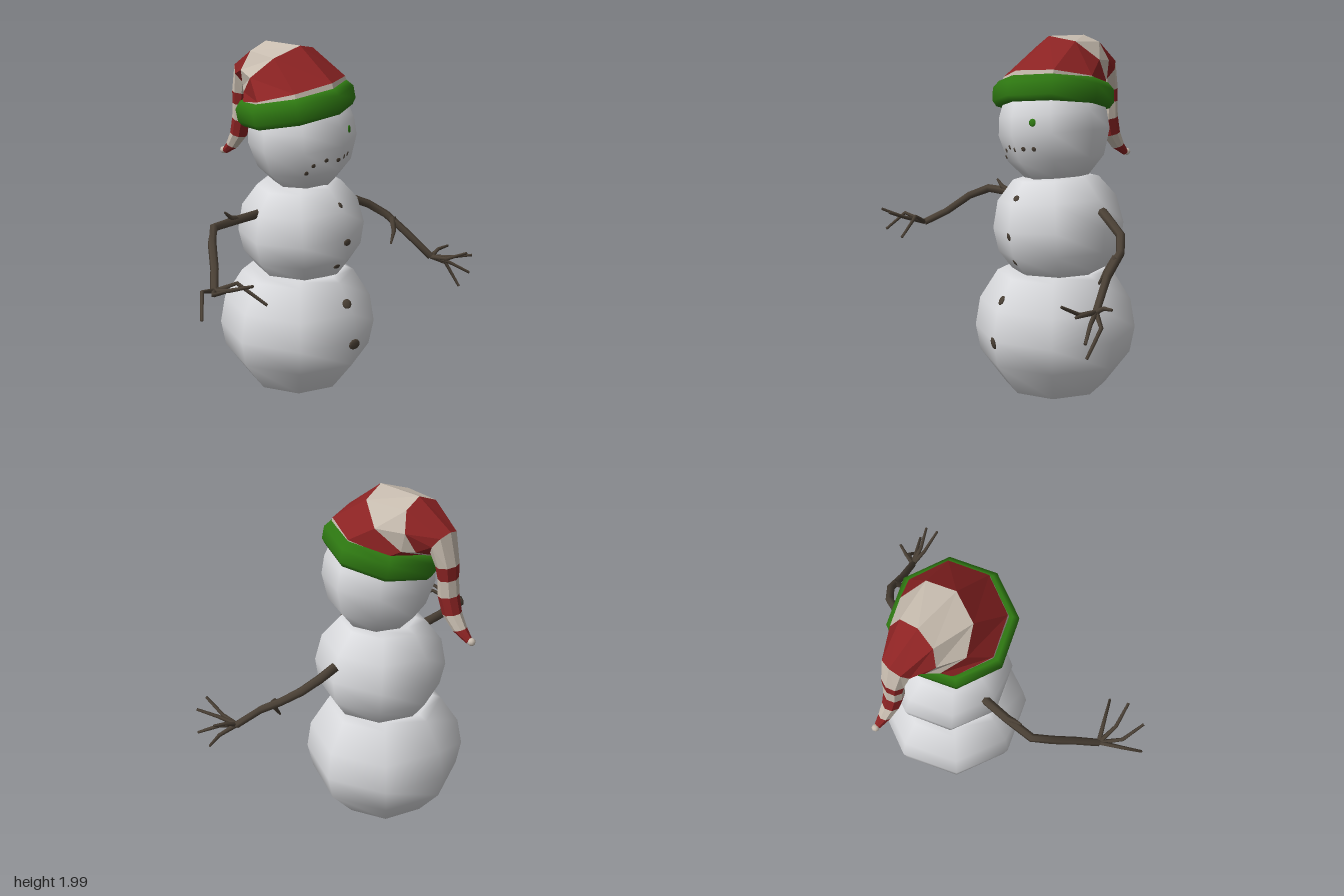
import * as THREE from 'three';

const mat = (name, color) => Object.assign(new THREE.MeshStandardMaterial({ color }), { name });
const V = (x, y, z) => new THREE.Vector3(x, y, z);

// Skin a list of equally long closed rings of points
function loft(rings, flat) {
  const n = rings[0].length, pos = [], idx = [];
  rings.forEach(r => r.forEach(p => pos.push(p.x, p.y, p.z)));
  for (let i = 0; i < rings.length - 1; i++) {
    for (let j = 0; j < n; j++) {
      const a = i * n + j, b = i * n + (j + 1) % n;
      idx.push(a, b, a + n, b, b + n, a + n);
    }
  }
  let g = new THREE.BufferGeometry();
  g.setAttribute('position', new THREE.Float32BufferAttribute(pos, 3));
  g.setIndex(idx);
  if (flat) g = g.toNonIndexed();
  g.computeVertexNormals();
  return g;
}

// Tapered stick along a bent path, closed at both ends
function stick(path, r0, r1, sides = 5) {
  const pts = path.map(p => V(...p)), last = pts.length - 1;
  const ring = (i, k) => {
    const t = pts[Math.min(i + 1, last)].clone().sub(pts[Math.max(i - 1, 0)]).normalize();
    const u = V(0.3, 0.8, -0.5).cross(t).normalize(), v = t.clone().cross(u);
    const r = k * (r0 + (r1 - r0) * i / last);
    return Array.from({ length: sides }, (_, j) => {
      const a = j / sides * Math.PI * 2;
      return pts[i].clone().addScaledVector(u, r * Math.cos(a)).addScaledVector(v, r * Math.sin(a));
    });
  };
  return loft([ring(0, 0), ...pts.map((_, i) => ring(i, 1)), ring(last, 0)]);
}

export function createModel() {
  const model = new THREE.Group();
  const snow = mat('snow', 0xd9dadd), red = mat('red cloth', 0x8c2323), cream = mat('cream cloth', 0xc8bdb0);
  const green = mat('green', 0x2f7a12), bark = mat('bark', 0x4a4035);

  const add = (name, geo, material, parent = model) => {
    const m = new THREE.Mesh(geo, material);
    m.name = name;
    parent.add(m);
    return m;
  };
  const lathe = profile => new THREE.LatheGeometry(profile.map(p => new THREE.Vector2(...p)), 8);

  // Three eight-sided snowballs, profiles as radius and height
  const base = add('lowerBall', lathe([[0, 0.01], [0.17, 0.025], [0.28, 0.06], [0.42, 0.245], [0.447, 0.39],
    [0.42, 0.55], [0.32, 0.71], [0.27, 0.73], [0, 0.735]]), snow);
  base.position.set(0.11, 0, -0.022);

  const middle = add('middleBall', lathe([[0, -0.27], [0.2, -0.265], [0.26, -0.235], [0.335, -0.13], [0.358, 0],
    [0.325, 0.15], [0.235, 0.26], [0.18, 0.275], [0, 0.275]]), snow);
  middle.position.set(0.135, 0.97, -0.02);
  middle.rotation.z = 0.08;

  const head = add('head', lathe([[0, -0.255], [0.17, -0.25], [0.26, -0.15], [0.3, -0.01], [0.29, 0.09],
    [0.25, 0.2], [0.14, 0.28], [0, 0.3]]), snow);
  head.position.set(0.12, 1.49, 0);
  head.rotation.z = 0.11;
  model.updateMatrixWorld(true);

  // Flat pebbles laid on the front of the snow
  const ray = new THREE.Raycaster();
  const pebble = (name, x, y, r, material) => {
    ray.set(V(x, y, 3), V(0, 0, -1));
    const hit = ray.intersectObjects([base, middle, head])[0];
    if (!hit) return;
    const m = add(name, new THREE.SphereGeometry(r, 7, 5), material);
    m.scale.z = 0.3;
    m.position.copy(hit.point);
    m.lookAt(hit.point.clone().add(hit.face.normal.clone().transformDirection(hit.object.matrixWorld)));
  };
  [[0.13, 1.15, 0.018], [0.13, 0.95, 0.022], [0.113, 0.8, 0.02], [0.103, 0.605, 0.028], [0.103, 0.38, 0.034]]
    .forEach(([x, y, r]) => pebble('button', x, y, r, bark));
  [[-0.05, 1.345], [-0.02, 1.385], [0.045, 1.41], [0.113, 1.405], [0.17, 1.413], [0.225, 1.415]]
    .forEach(([x, y]) => pebble('mouthPebble', x, y, 0.013, bark));
  pebble('eye', 0.225, 1.553, 0.021, green);

  // Hat: brim band tilted back and sideways
  const hat = new THREE.Group();
  hat.name = 'hat';
  model.add(hat);
  const band = add('hatBand', lathe([[0.26, -0.05], [0.305, -0.06], [0.327, -0.03], [0.327, 0.04], [0.295, 0.078],
    [0.25, 0.06]]), green, hat);
  band.position.set(0.09, 1.67, -0.022);
  band.rotation.set(-0.147, 0, 0.13);

  // Hat cloth rings: outer z, y; inner z, y; half width; sideways slope
  const rings = [
    [0.26, 1.745, -0.30, 1.65, 0.285, 0.13],
    [0.24, 1.815, -0.31, 1.69, 0.28, 0.13],
    [0.01, 1.99, -0.32, 1.70, 0.215, 0.1],
    [-0.25, 1.995, -0.34, 1.71, 0.15, 0.05],
    [-0.455, 1.87, -0.365, 1.74, 0.085, 0],
    [-0.495, 1.70, -0.385, 1.685, 0.065, 0],
    [-0.497, 1.627, -0.40, 1.62, 0.058, 0],
    [-0.507, 1.54, -0.40, 1.52, 0.054, 0],
    [-0.53, 1.45, -0.43, 1.425, 0.048, 0],
    [-0.57, 1.38, -0.50, 1.35, 0.035, 0],
    [-0.61, 1.335, -0.585, 1.305, 0.018, 0],
  ].map(([z0, y0, z1, y1, w, slope]) => Array.from({ length: 8 }, (_, j) => {
    const a = j / 8 * Math.PI * 2, c = Math.cos(a) / 2, x = w * Math.sin(a);
    return V(0.09 + x, (y0 + y1) / 2 + (y0 - y1) * c + slope * x, (z0 + z1) / 2 + (z0 - z1) * c);
  }));
  for (let i = 0; i < rings.length - 1; i++) {
    add('hatStripe', loft([rings[i], rings[i + 1]], true), i % 2 ? red : cream, hat);
  }
  add('hatTip', new THREE.SphereGeometry(0.021, 8, 6), cream, hat).position.set(0.09, 1.322, -0.612);

  // Branch arms: limb, side twig and fingers spreading from the hand
  const arm = (name, limb, twig, fingers) => {
    const g = new THREE.Group();
    g.name = name;
    model.add(g);
    add('branch', stick(limb, 0.026, 0.021, 6), bark, g);
    add('twig', stick(twig, 0.022, 0.006), bark, g);
    const hand = limb[limb.length - 1];
    fingers.forEach(([mid, tip]) => add('finger', stick([hand, mid, tip], 0.014, 0.008), bark, g));
  };
  arm('rightArm',
    [[-0.12, 1.095, -0.06], [-0.33, 1.095, -0.06], [-0.5, 1.095, -0.05], [-0.585, 1.05, 0.03],
      [-0.67, 0.955, 0.14], [-0.76, 0.89, 0.235]],
    [[-0.32, 1.095, -0.06], [-0.375, 1.12, -0.05], [-0.42, 1.16, -0.05]],
    [[[-0.885, 0.935, 0.29], [-0.965, 0.835, 0.375]],
      [[-0.85, 0.92, 0.33], [-0.885, 0.98, 0.455]],
      [[-0.775, 0.93, 0.36], [-0.745, 0.98, 0.495]],
      [[-0.705, 0.945, 0.34], [-0.64, 0.85, 0.485]]]);
  arm('leftArm',
    [[0.47, 1.09, -0.02], [0.56, 1.045, 0.005], [0.66, 1.0, 0.04], [0.735, 0.935, 0.12],
      [0.77, 0.84, 0.25], [0.835, 0.705, 0.39]],
    [[0.745, 0.92, 0.16], [0.715, 0.85, 0.2], [0.675, 0.78, 0.21]],
    [[[0.92, 0.655, 0.44], [0.925, 0.53, 0.54]],
      [[0.89, 0.68, 0.48], [0.96, 0.62, 0.585]],
      [[0.87, 0.72, 0.5], [0.93, 0.745, 0.615]],
      [[0.84, 0.715, 0.5], [0.85, 0.78, 0.63]],
      [[0.9, 0.74, 0.4], [0.965, 0.75, 0.42]]]);

  return model;
}
